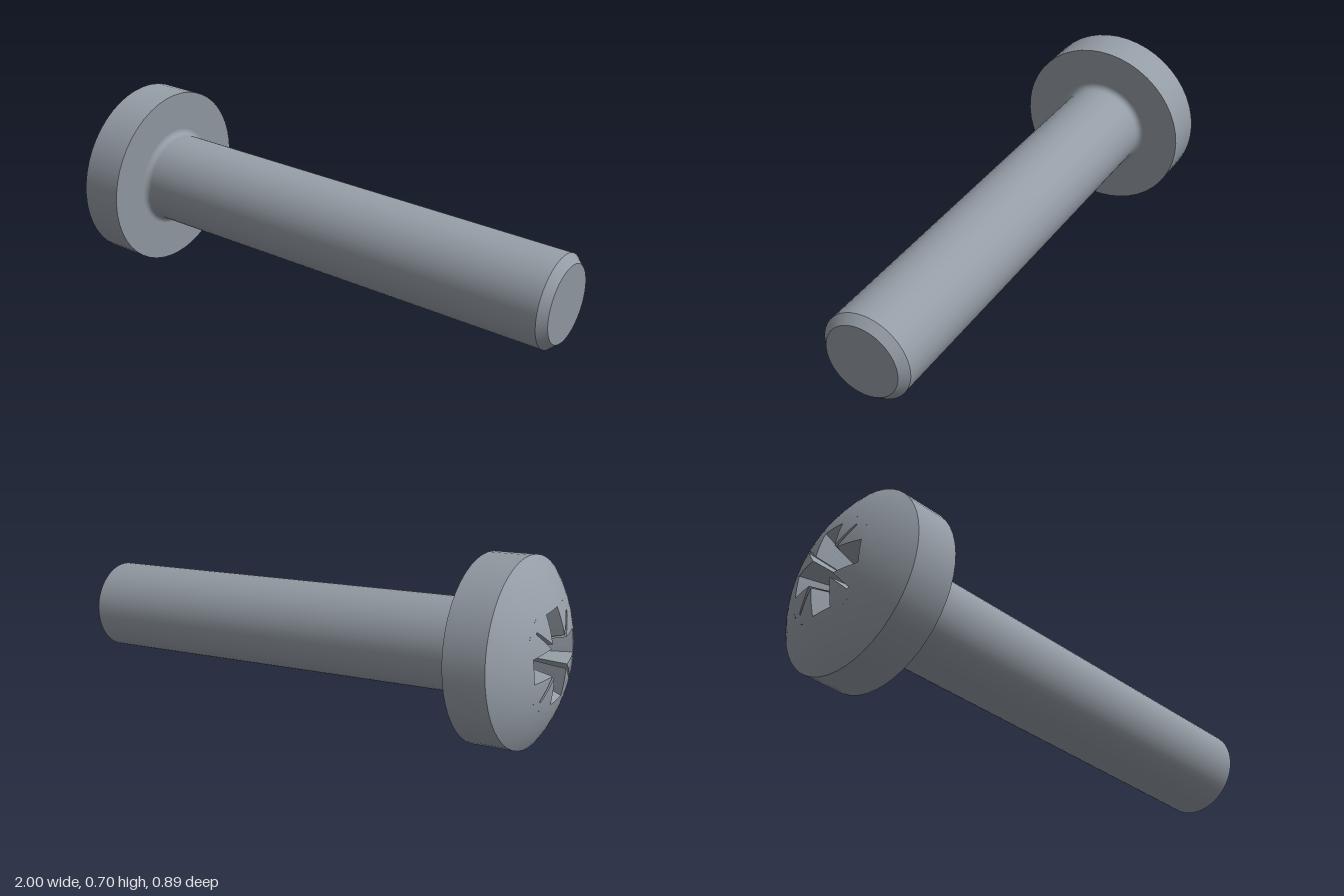
import * as THREE from 'three';

const steel = new THREE.MeshStandardMaterial({ color: 0x949ca5 });
steel.name = 'steel grey';

// Screw in its own frame: axis on y, head underside at y = 0, dome upwards
const SHANK_R = 0.173, TIP_R = 0.144, LENGTH = 1.73, CHAMFER = 0.031;
const HEAD_R = 0.345, RIM_H = 0.16, DOME_H = 0.118, FILLET = 0.022, PATCH_R = 0.2;
const DOME_R = (DOME_H ** 2 + HEAD_R ** 2) / (2 * DOME_H);
const CENTRE_Y = RIM_H + DOME_H - DOME_R;
const domeY = (r) => CENTRE_Y + Math.sqrt(DOME_R ** 2 - r * r);

// One smooth turned surface; separate surfaces keep the edges between them sharp
function turned(name, points, segments) {
  const profile = points.map(([r, y]) => new THREE.Vector2(r, y));
  const mesh = new THREE.Mesh(new THREE.LatheGeometry(profile, segments), steel);
  mesh.name = name;
  return mesh;
}

// Outline of the cross recess: four wings with a thin diagonal tick between each pair
function recessOutline() {
  const quarter = [[-0.045, 0.165], [0.045, 0.165], [0.05, 0.062],
    [0.122, 0.128], [0.128, 0.122], [0.062, 0.05]];
  const corners = [];
  for (let k = 0; k < 4; k++) {
    for (const [x, z] of quarter) {
      corners.push(new THREE.Vector2(x, z).rotateAround(new THREE.Vector2(), -k * Math.PI / 2));
    }
  }
  const outline = [];
  corners.forEach((p, i) => {
    const q = corners[(i + 1) % corners.length];
    for (let s = 0; s < 4; s++) outline.push(p.clone().lerp(q, s / 4));
  });
  return outline;
}

function meshFromTriangles(name, triangles, normalOf) {
  const geometry = new THREE.BufferGeometry().setFromPoints(triangles);
  if (normalOf) {
    const normals = triangles.flatMap((p) => normalOf(p).toArray());
    geometry.setAttribute('normal', new THREE.Float32BufferAttribute(normals, 3));
  } else {
    geometry.computeVertexNormals();
  }
  const mesh = new THREE.Mesh(geometry, steel);
  mesh.name = name;
  return mesh;
}

// Dome centre around the recess, and the tapered recess itself
function driveRecess() {
  const outline = recessOutline();
  const onDome = (p) => new THREE.Vector3(p.x, domeY(p.length()), p.y);
  const rings = [0, 0.5, 1].map((t) => outline.map((p) =>
    onDome(p.clone().setLength(THREE.MathUtils.lerp(p.length(), PATCH_R, t)))));
  const floorRing = outline.map((p) => new THREE.Vector3(p.x * 0.55, 0.13, p.y * 0.55));
  const bottom = new THREE.Vector3(0, 0.09, 0);
  const dome = [], walls = [], floor = [];
  for (let i = 0; i < outline.length; i++) {
    const j = (i + 1) % outline.length;
    for (let k = 0; k < 2; k++) {
      const a = rings[k], b = rings[k + 1];
      dome.push(a[i], b[i], b[j], a[i], b[j], a[j]);
    }
    const top = rings[0];
    walls.push(top[i], top[j], floorRing[j], top[i], floorRing[j], floorRing[i]);
    floor.push(bottom, floorRing[i], floorRing[j]);
  }
  const centre = new THREE.Vector3(0, CENTRE_Y, 0);
  const group = new THREE.Group();
  group.name = 'driveRecess';
  group.add(
    meshFromTriangles('domeCentre', dome, (p) => p.clone().sub(centre).normalize()),
    meshFromTriangles('recessWalls', walls),
    meshFromTriangles('recessFloor', floor));
  return group;
}

export function createModel() {
  const screw = new THREE.Group();
  screw.name = 'screw';

  // Shank with chamfered tip and a small fillet under the head
  const shank = [[SHANK_R, -LENGTH + CHAMFER]];
  for (let i = 0; i <= 6; i++) {
    const a = (i / 6) * Math.PI / 2;
    shank.push([SHANK_R + FILLET * (1 - Math.cos(a)), -FILLET * (1 - Math.sin(a))]);
  }
  screw.add(
    turned('tipFace', [[0, -LENGTH], [TIP_R, -LENGTH]].map(([r, y]) => [r, y]), 48),
    turned('tipChamfer', [[TIP_R, -LENGTH], [SHANK_R, -LENGTH + CHAMFER]], 48),
    turned('shank', shank, 48));

  // Pan head
  const dome = [];
  for (let i = 0; i <= 8; i++) {
    const r = THREE.MathUtils.lerp(HEAD_R, PATCH_R, i / 8);
    dome.push([r, domeY(r)]);
  }
  screw.add(
    turned('headUnderside', [[SHANK_R + FILLET, 0], [HEAD_R, 0]], 48),
    turned('headRim', [[HEAD_R, 0], [HEAD_R, RIM_H]], 48),
    turned('headDome', dome, 48),
    driveRecess());

  // Lay the screw down: resting on the head rim and the tip
  const up = new THREE.Vector3(-0.973, 0.102, -0.207).normalize();
  const side = new THREE.Vector3(0, 0, 1).addScaledVector(up, -up.z).normalize();
  const across = new THREE.Vector3().crossVectors(up, side);
  screw.quaternion.setFromRotationMatrix(new THREE.Matrix4().makeBasis(across, up, side));
  screw.position.set(-0.715, 0.346, -0.077);

  const model = new THREE.Group();
  model.name = 'panHeadScrew';
  model.add(screw);
  return model;
}
